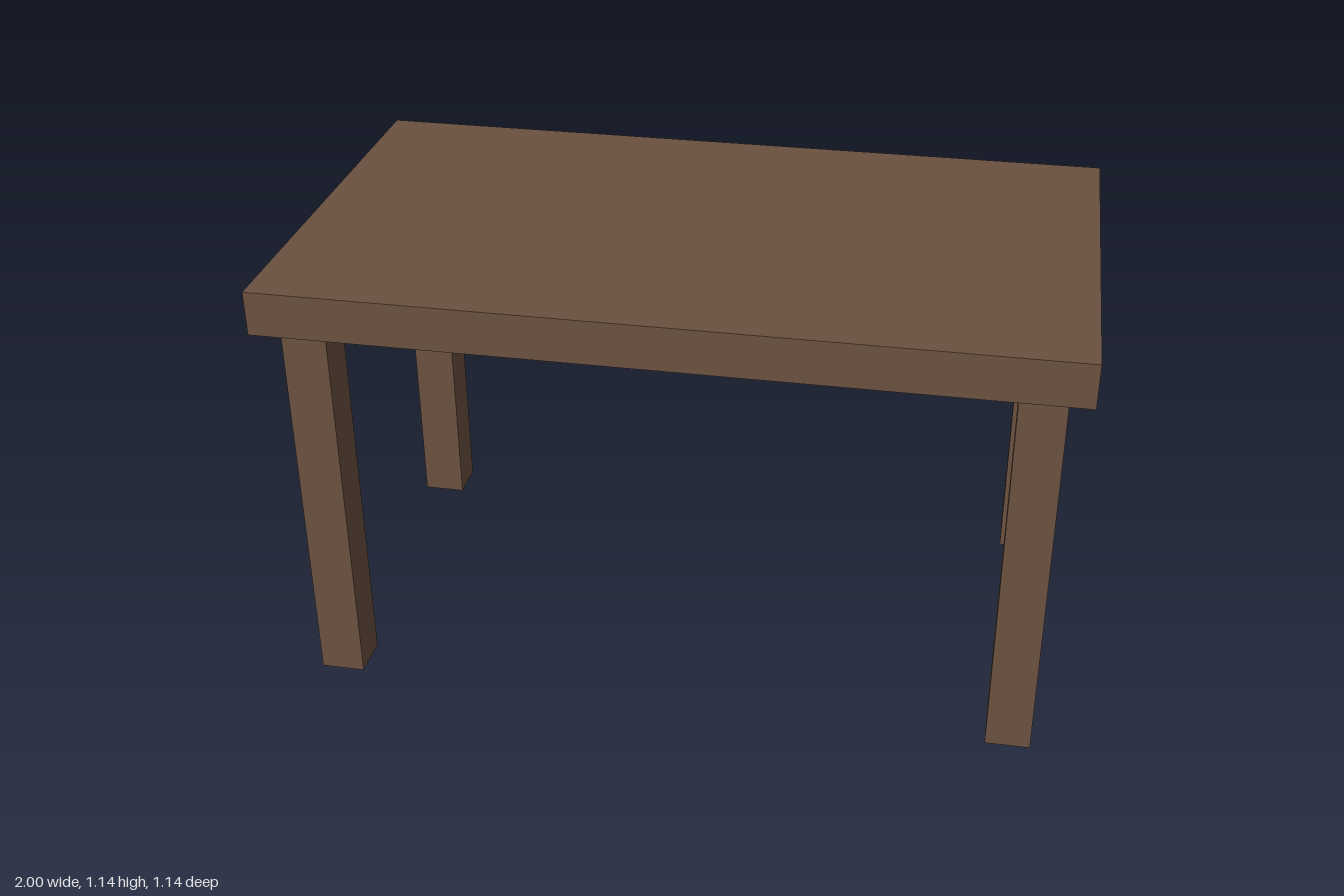
import * as THREE from 'three';

export function createModel() {
  const model = new THREE.Group();
  model.name = 'table';

  const wood = new THREE.MeshStandardMaterial({ color: 0x6b5140 });
  wood.name = 'brown wood';

  const width = 2, depth = 1.143, height = 1.143;
  const thickness = 0.114; // tabletop thickness and leg side
  const inset = 0.057; // gap from tabletop edge to leg

  // Tabletop slab
  const top = new THREE.Mesh(new THREE.BoxGeometry(width, thickness, depth), wood);
  top.name = 'tabletop';
  top.position.y = height - thickness / 2;
  model.add(top);

  // Four square legs, set in from the corners
  const legHeight = height - thickness;
  const legGeometry = new THREE.BoxGeometry(thickness, legHeight, thickness);
  const legX = width / 2 - inset - thickness / 2;
  const legZ = depth / 2 - inset - thickness / 2;
  for (const x of [-1, 1]) {
    for (const z of [-1, 1]) {
      const leg = new THREE.Mesh(legGeometry, wood);
      leg.name = (z > 0 ? 'front' : 'back') + (x > 0 ? 'Left' : 'Right') + 'Leg';
      leg.position.set(x * legX, legHeight / 2, z * legZ);
      model.add(leg);
    }
  }

  return model;
}
